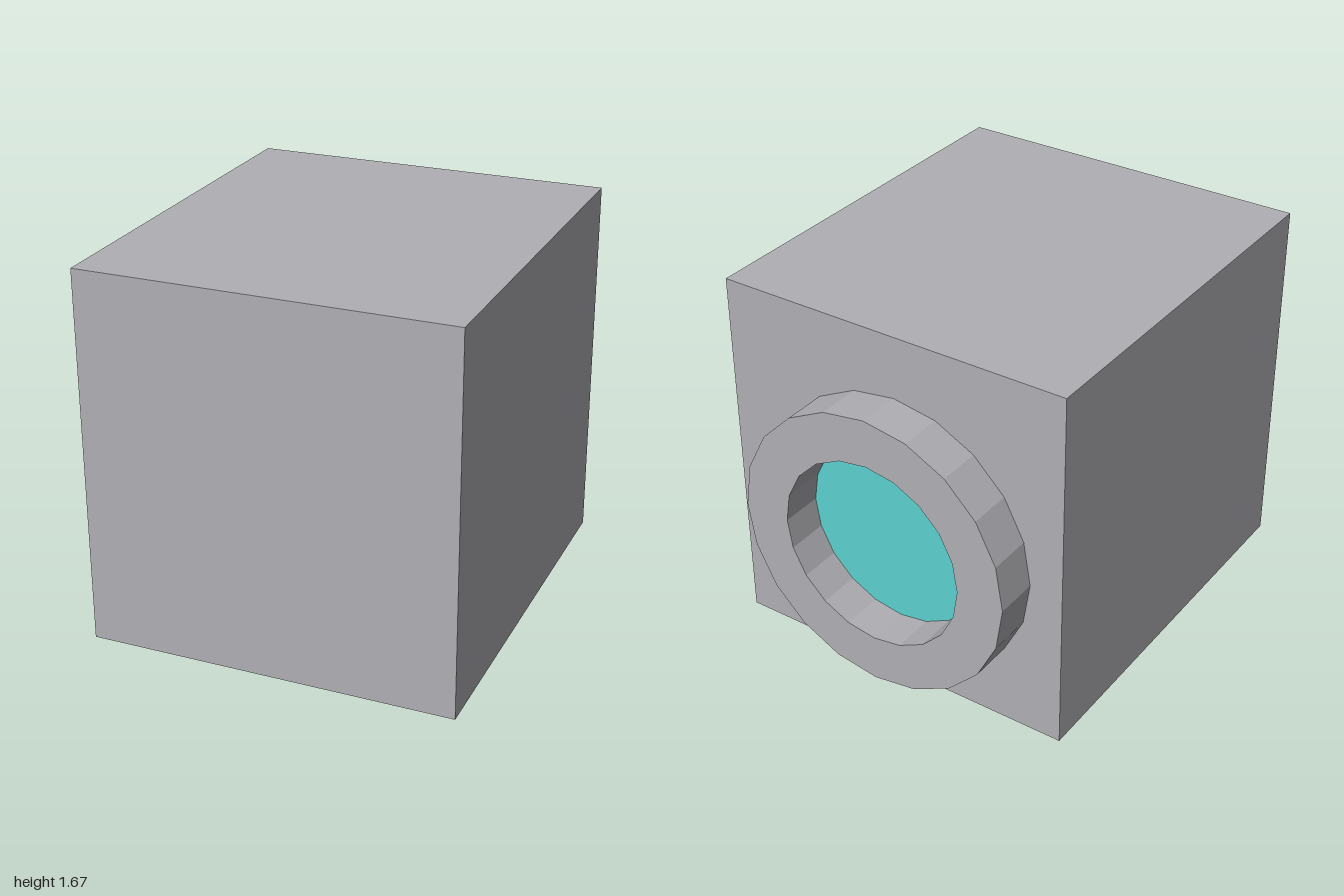
import * as THREE from 'three';

const SIDES = 20;
const BACK = -0.805; // rear face of the housing

// Regular polygon outline with a corner on the x axis
function polygon(radius) {
  return Array.from({ length: SIDES }, (_, i) => {
    const a = (i / SIDES) * Math.PI * 2;
    return new THREE.Vector2(radius * Math.cos(a), radius * Math.sin(a));
  });
}

export function createModel() {
  const grey = new THREE.MeshStandardMaterial({ color: 0xafafb4 });
  grey.name = 'grey casing';
  const teal = new THREE.MeshStandardMaterial({ color: 0x5dd0d0 });
  teal.name = 'teal glass';

  const model = new THREE.Group();
  const add = (name, geometry, material, x, y, z) => {
    const mesh = new THREE.Mesh(geometry, material);
    mesh.name = name;
    mesh.position.set(x, y, z);
    model.add(mesh);
    return mesh;
  };

  // Box housing
  const depth = 1 - BACK;
  add('housing', new THREE.BoxGeometry(1.63, 1.67, depth), grey, 0, 0.835, BACK + depth / 2);

  // Faceted ring on the rear face
  const outline = new THREE.Shape(polygon(0.645));
  outline.holes.push(new THREE.Path(polygon(0.43)));
  const ring = new THREE.ExtrudeGeometry(outline, { depth: 1 + BACK, bevelEnabled: false });
  add('ring', ring, grey, -0.02, 0.745, -1);

  // Glass recessed at the bottom of the ring
  const glass = add('glass', new THREE.CircleGeometry(0.43, SIDES), teal, -0.02, 0.745, BACK - 0.008);
  glass.rotation.y = Math.PI;

  return model;
}
